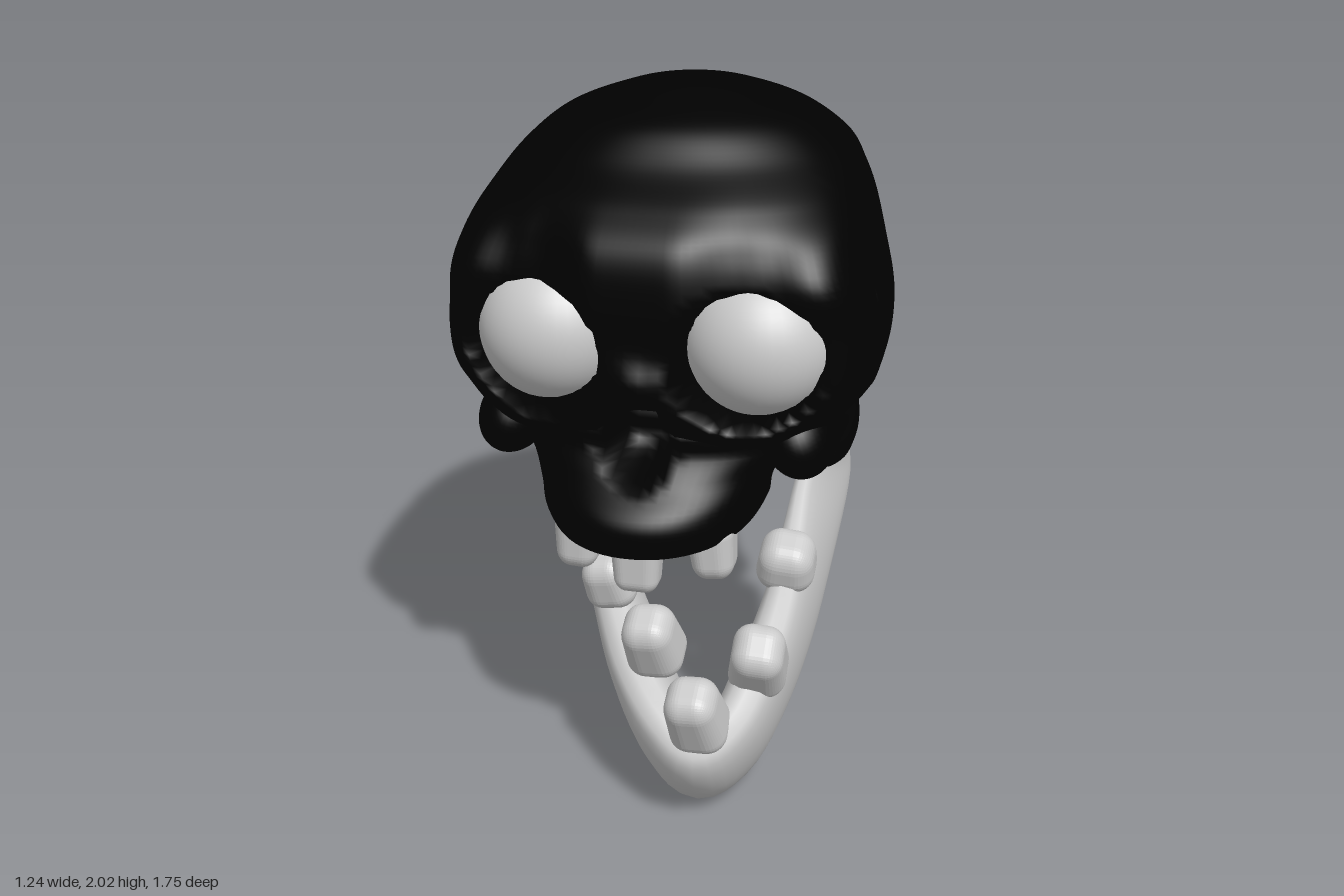
import * as THREE from 'three';
import { RoundedBoxGeometry } from 'three/addons/geometries/RoundedBoxGeometry.js';

const bone = new THREE.MeshStandardMaterial({ color: 0xcccccc, side: THREE.DoubleSide });
const dark = new THREE.MeshStandardMaterial({ color: 0x000000, side: THREE.DoubleSide });
const V = (x, y, z) => new THREE.Vector3(x, y, z);

function add(group, name, geometry, material, pos = [0, 0, 0], scale = [1, 1, 1], rot = [0, 0, 0]) {
  const mesh = new THREE.Mesh(geometry, material);
  mesh.name = name;
  mesh.position.set(...pos);
  mesh.scale.set(...scale);
  mesh.rotation.set(...rot);
  group.add(mesh);
}

// Skin a list of closed rings; the winding is turned outward by signed volume
function loft(rings) {
  const n = rings[0].length, pts = rings.flat(), index = [];
  for (let i = 0; i < rings.length - 1; i++) {
    for (let j = 0; j < n; j++) {
      const a = i * n + j, b = i * n + (j + 1) % n;
      index.push(a, b, a + n, b, b + n, a + n);
    }
  }
  let volume = 0;
  for (let i = 0; i < index.length; i += 3) {
    volume += pts[index[i]].dot(pts[index[i + 1]].clone().cross(pts[index[i + 2]]));
  }
  if (volume < 0) index.reverse();
  const g = new THREE.BufferGeometry().setFromPoints(pts);
  g.setIndex(index);
  g.computeVertexNormals();
  return g;
}

// Eye sockets, nose opening, nose bridge and swept-back brow and outer eye rims
function sculpt(p) {
  if (p.z < 0.3) return p;
  const ax = Math.abs(p.x), step = THREE.MathUtils.smoothstep;
  const rimBand = step(p.y, 1.08, 1.2) * (1 - step(p.y, 1.4, 1.58));
  const browBand = step(p.y, 1.1, 1.3) * (1 - step(p.y, 1.62, 1.8));
  p.z -= 0.06 * rimBand * step(ax, 0.3, 0.5);
  p.z -= 0.06 * browBand * step(ax, 0.1, 0.28) * (1 - step(ax, 0.34, 0.52));
  const eye = Math.hypot((ax - 0.295) / 0.187, (p.y - 1.345) / 0.178);
  const noseWidth = 0.1 - 0.25 * Math.max(0, p.y - 1.08);
  const nose = Math.hypot(p.x / noseWidth, (p.y - 1.13) / 0.14);
  p.z += 0.035 * Math.exp(-((p.x / 0.07) ** 2) - ((p.y - 1.29) / 0.06) ** 2);
  p.z -= 0.26 * (1 - step(eye, 0.86, 1.1)) + 0.16 * (1 - step(nose, 0.7, 1.1));
  return p;
}

// Horizontal rings from rows of [y, half width, front z, back z, centre z, front power, back power]
function skullPart(rows, rowCount, cols) {
  const columns = rows[0].map((_, k) => new THREE.SplineCurve(rows.map((r, i) => new THREE.Vector2(i, r[k]))));
  const rings = [];
  for (let i = 0; i <= rowCount; i++) {
    const [y, w, front, back, mid, frontPower, backPower] = columns.map(c => c.getPoint(i / rowCount).y);
    const ring = [];
    for (let j = 0; j < cols; j++) {
      const a = j / cols * Math.PI * 2, c = Math.cos(a), s = Math.sin(a);
      const n = s > 0 ? frontPower : backPower;
      const r = (Math.abs(c) ** n + Math.abs(s) ** n) ** (-1 / n);
      const depth = s > 0 ? front - mid : mid - back;
      ring.push(sculpt(V(Math.max(w, 0) * c * r, y, mid + depth * s * r)));
    }
    rings.push(ring);
  }
  return loft(rings);
}

// Lower jaw: [top edge point, bottom edge point, half thickness] swept around the arch
function jawGeometry() {
  const stations = [
    [[-0.42, 0.985, -0.07], [-0.44, 0.95, -0.17], 0.025],
    [[-0.41, 0.93, 0.0], [-0.45, 0.83, -0.21], 0.035],
    [[-0.37, 0.84, 0.1], [-0.41, 0.70, -0.24], 0.04],
    [[-0.28, 0.71, 0.25], [-0.29, 0.49, -0.06], 0.05],
    [[-0.16, 0.57, 0.42], [-0.13, 0.26, 0.15], 0.075],
    [[-0.04, 0.43, 0.61], [0.02, 0.09, 0.36], 0.09],
    [[0.09, 0.33, 0.74], [0.10, 0.02, 0.50], 0.09],
    [[0.20, 0.28, 0.79], [0.17, 0.00, 0.55], 0.09],
    [[0.29, 0.34, 0.73], [0.24, 0.02, 0.49], 0.085],
    [[0.34, 0.45, 0.60], [0.31, 0.11, 0.34], 0.085],
    [[0.37, 0.58, 0.42], [0.38, 0.28, 0.14], 0.075],
    [[0.37, 0.71, 0.25], [0.44, 0.50, -0.06], 0.055],
    [[0.38, 0.84, 0.1], [0.47, 0.70, -0.24], 0.04],
    [[0.43, 0.93, 0.0], [0.46, 0.83, -0.21], 0.035],
    [[0.44, 0.985, -0.07], [0.45, 0.95, -0.17], 0.025],
  ];
  const curve = k => new THREE.CatmullRomCurve3(stations.map(s => V(...s[k])));
  const thick = new THREE.SplineCurve(stations.map((s, i) => new THREE.Vector2(i, s[2])));
  const top = curve(0), bottom = curve(1), rings = [], steps = 70, sides = 20;
  const middle = t => top.getPoint(t).add(bottom.getPoint(t)).multiplyScalar(0.5);
  for (let i = 0; i <= steps; i++) {
    const t = i / steps, centre = middle(t);
    const half = top.getPoint(t).sub(bottom.getPoint(t)).multiplyScalar(0.5);
    const along = middle(Math.min(1, t + 0.01)).sub(middle(Math.max(0, t - 0.01)));
    const side = half.clone().cross(along).normalize().multiplyScalar(thick.getPoint(t).y);
    const ring = [];
    for (let j = 0; j < sides; j++) {
      const a = j / sides * Math.PI * 2, c = Math.cos(a), s = Math.sin(a);
      ring.push(centre.clone().addScaledVector(half, c)
        .addScaledVector(side, Math.sign(s) * Math.abs(s) ** 0.7));
    }
    if (i === 0) rings.push(ring.map(() => centre.clone()));
    rings.push(ring);
    if (i === steps) rings.push(ring.map(() => centre.clone()));
  }
  return loft(rings);
}

// Rounded tooth, narrower at its tip (+y)
function toothGeometry(w, h, d) {
  const g = new RoundedBoxGeometry(w, h, d, 5, Math.min(w, d) * 0.36);
  const p = g.attributes.position;
  for (let i = 0; i < p.count; i++) {
    const k = 0.98 - 0.22 * p.getY(i) / h;
    p.setX(i, p.getX(i) * k);
    p.setZ(i, p.getZ(i) * k);
  }
  g.computeVertexNormals();
  return g;
}

export function createModel() {
  const model = new THREE.Group();
  model.name = 'skull';

  // Braincase with brow, sockets and closed base
  add(model, 'cranium', skullPart([
    [2.0, 0, 0, 0, 0, 2, 2],
    [1.985, 0.11, 0.1, -0.13, 0, 2, 2],
    [1.955, 0.22, 0.2, -0.3, 0, 2, 2],
    [1.9, 0.36, 0.34, -0.46, 0.0, 2.1, 2.1],
    [1.81, 0.47, 0.44, -0.62, 0.0, 2.3, 2.2],
    [1.73, 0.52, 0.57, -0.71, 0.05, 2.8, 2.2],
    [1.64, 0.555, 0.66, -0.81, 0.12, 3.5, 2.3],
    [1.5, 0.59, 0.68, -0.86, 0.2, 4.2, 2.5],
    [1.35, 0.62, 0.66, -0.88, 0.2, 4.2, 2.5],
    [1.22, 0.605, 0.66, -0.88, 0.18, 3.9, 2.5],
    [1.12, 0.53, 0.62, -0.86, 0.1, 3.6, 2.5],
    [1.02, 0.47, 0.5, -0.8, -0.2, 2.6, 2.4],
    [0.9, 0.455, 0.26, -0.7, -0.33, 2, 2.3],
    [0.81, 0.41, 0.05, -0.54, -0.33, 2, 2.2],
    [0.75, 0.3, -0.14, -0.43, -0.3, 2, 2],
    [0.73, 0, -0.29, -0.29, -0.29, 2, 2],
  ], 110, 160), dark);

  // Upper jaw with a hollow palate
  add(model, 'upperJaw', skullPart([
    [1.16, 0, 0.4, 0.3, 0.35, 2, 2],
    [1.15, 0.36, 0.62, 0.25, 0.35, 2.3, 2],
    [1.07, 0.39, 0.63, 0.25, 0.35, 2.3, 2],
    [1.0, 0.36, 0.69, 0.25, 0.35, 2.1, 2],
    [0.93, 0.33, 0.765, 0.25, 0.35, 2.1, 2],
    [0.87, 0.32, 0.775, 0.27, 0.35, 2.1, 2],
    [0.81, 0.28, 0.74, 0.31, 0.36, 2.1, 2],
    [0.83, 0.22, 0.65, 0.32, 0.36, 2, 2],
    [0.9, 0.14, 0.55, 0.33, 0.36, 2, 2],
    [0.91, 0, 0.36, 0.34, 0.35, 2, 2],
  ], 50, 80), dark);

  const ball = new THREE.SphereGeometry(1, 40, 28);
  for (const s of [1, -1]) {
    const side = s > 0 ? 'left' : 'right';
    add(model, side + 'Eye', ball, bone, [s * 0.295, 1.345, 0.38], [0.22, 0.22, 0.22]);
    // Cheekbone and the arch running back from it
    add(model, side + 'Cheekbone', ball, dark, [s * 0.415, 1.08, 0.41], [0.1, 0.12, 0.15], [0, 0, s * 0.35]);
    const arch = new THREE.CatmullRomCurve3([
      V(s * 0.43, 1.06, 0.5), V(s * 0.495, 1.02, 0.38), V(s * 0.515, 1.025, 0.2),
      V(s * 0.49, 1.06, 0.0), V(s * 0.43, 1.08, -0.2)]);
    add(model, side + 'CheekArch', new THREE.TubeGeometry(arch, 24, 0.035, 12), dark);
    // Bony lumps behind the jaw hinge and under the base
    add(model, side + 'Mastoid', ball, dark, [s * 0.41, 0.86, -0.31], [0.065, 0.12, 0.11]);
    add(model, side + 'Condyle', ball, dark, [s * 0.18, 0.76, -0.3], [0.09, 0.08, 0.12]);
  }

  add(model, 'lowerJaw', jawGeometry(), bone);

  // Teeth: [position, size, rotation]
  const lower = [
    [[0.2, 0.37, 0.77], [0.16, 0.23, 0.16], [0.5, 0, 0.1]],
    [[0.345, 0.47, 0.61], [0.16, 0.23, 0.17], [0.7, 0, -0.1]],
    [[0.04, 0.5, 0.62], [0.16, 0.22, 0.16], [0.5, 0, 0.1]],
    [[-0.125, 0.61, 0.47], [0.15, 0.17, 0.16], [0.35, 0, 0.2]],
    [[0.375, 0.65, 0.33], [0.17, 0.16, 0.17], [0.4, 0, -0.1]],
  ];
  const upper = [
    [[-0.185, 0.78, 0.56], [0.13, 0.18, 0.14], [Math.PI, 0, 0.05]],
    [[0.01, 0.78, 0.66], [0.14, 0.2, 0.11], [Math.PI, 0, 0]],
    [[0.2, 0.78, 0.55], [0.13, 0.18, 0.14], [Math.PI, 0, -0.1]],
  ];
  for (const [p, size, r] of lower) add(model, 'lowerTooth', toothGeometry(...size), bone, p, [1, 1, 1], r);
  for (const [p, size, r] of upper) add(model, 'upperTooth', toothGeometry(...size), bone, p, [1, 1, 1], r);

  return model;
}
